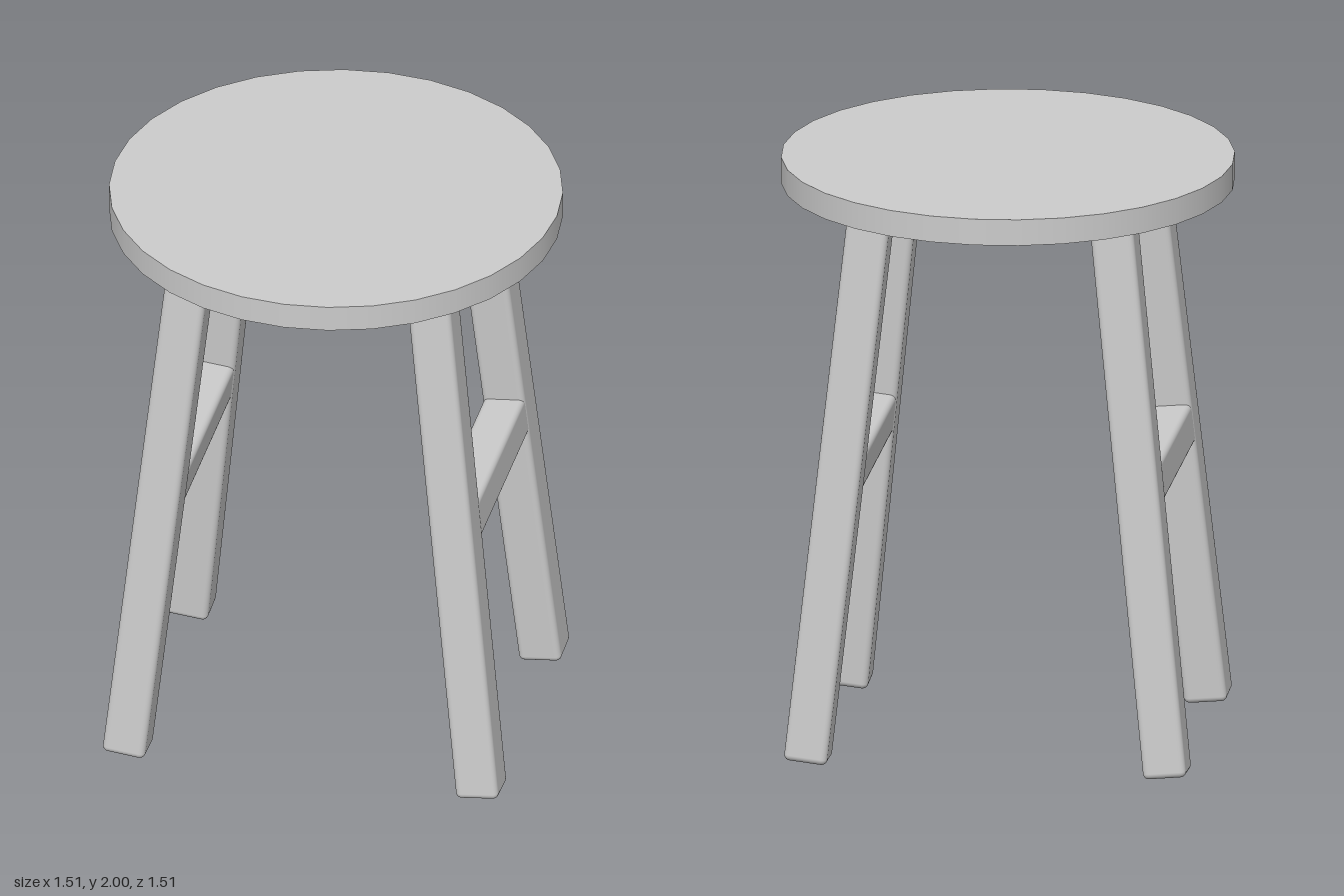
import * as THREE from 'three';
import { RoundedBoxGeometry } from 'three/addons/geometries/RoundedBoxGeometry.js';

const SEAT_RADIUS = 0.755, SEAT_THICKNESS = 0.09, HEIGHT = 2;
const BAR = 0.145;                        // square section of the legs
const FOOT = { x: 0.605, y: 0.01, z: 0.457 };
const SPLAY_X = 0.105, SPLAY_Z = 0.062;   // outward lean, in radians

export function createModel() {
  const model = new THREE.Group();
  model.name = 'stool';
  const material = new THREE.MeshStandardMaterial({ color: 0xcccccc });

  const add = (name, geometry) => {
    const mesh = new THREE.Mesh(geometry, material);
    mesh.name = name;
    model.add(mesh);
    return mesh;
  };

  // Round seat
  add('seat', new THREE.CylinderGeometry(SEAT_RADIUS, SEAT_RADIUS, SEAT_THICKNESS, 32))
    .position.y = HEIGHT - SEAT_THICKNESS / 2;

  // Splayed legs, pivoting at the foot and ending inside the seat
  const legLength = 1.955;
  const legGeometry = new RoundedBoxGeometry(BAR, legLength, BAR, 3, 0.02);
  legGeometry.translate(0, legLength / 2, 0);

  // Stretcher joining the front and back leg on each side
  const railY = 0.985;
  const railX = FOOT.x - Math.tan(SPLAY_X) * (railY - FOOT.y);
  const railGeometry = new RoundedBoxGeometry(0.14, 0.14, 0.78, 3, 0.02);

  for (const [sx, side] of [[1, 'left'], [-1, 'right']]) {
    for (const [sz, end] of [[1, 'Front'], [-1, 'Back']]) {
      const leg = add(`${side}${end}Leg`, legGeometry);
      leg.position.set(sx * FOOT.x, FOOT.y, sz * FOOT.z);
      leg.rotation.set(-sz * SPLAY_Z, 0, sx * SPLAY_X);
    }
    const rail = add(`${side}Stretcher`, railGeometry);
    rail.position.set(sx * railX, railY, 0);
    rail.rotation.z = sx * SPLAY_X;
  }

  return model;
}
